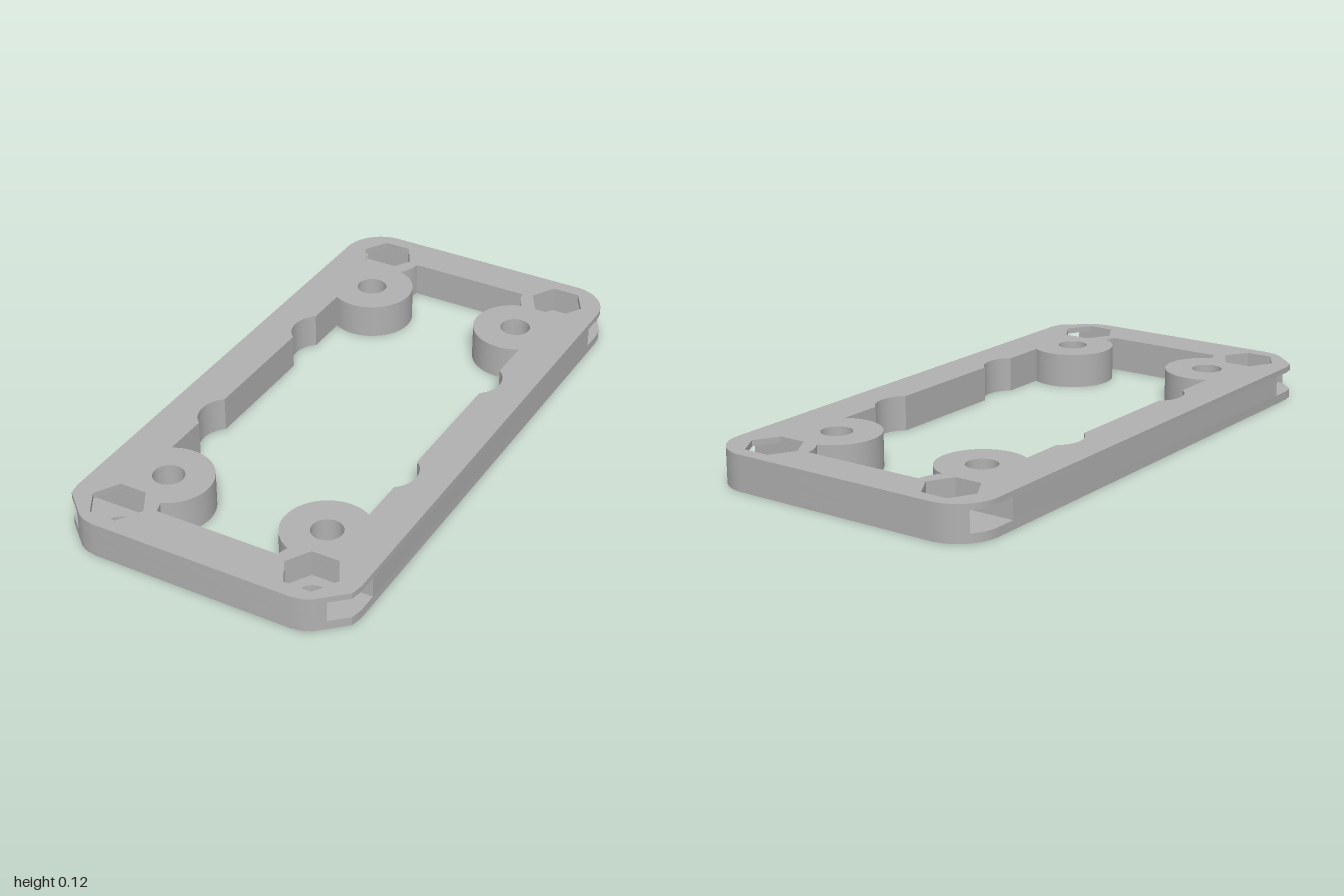
import * as THREE from 'three';
import { toCreasedNormals } from 'three/addons/utils/BufferGeometryUtils.js';

// Plan dimensions: points are (x, z)
const W = 0.505, WALL = 0.36;
const NUT = { x: 0.344, z: 0.87, r: 0.13, hex: 0.094, flat: 0.081 };
const BOSS = { x: 0.286, r: 0.147 };
const BOSS_FRONT = 0.677, BOSS_BACK = 0.645;

const V = (x, z) => new THREE.Vector2(x, z);
const flip = (pts, sx, sz) => pts.map(p => V(p.x * sx, p.y * sz));

function arc(cx, cz, r, a0, a1, n) {
  return Array.from({ length: n + 1 }, (_, i) => {
    const a = a0 + (a1 - a0) * i / n;
    return V(cx + r * Math.cos(a), cz + r * Math.sin(a));
  });
}

// Outer corner from the long side to the short end, optionally cut by a nut slot
function corner(front, slot) {
  const pts = front
    ? [V(W, 0.86), V(0.497, 0.9), V(0.41, 0.98), V(0.385, 0.993), V(0.345, 1)]
    : arc(W - 0.14, 0.86, 0.14, 0, Math.PI / 2, 16);
  if (!slot) return pts;
  const zMax = NUT.z + NUT.flat, zMin = NUT.z - NUT.flat;
  const i = pts.findIndex(p => p.y > zMax);
  const a = pts[i - 1], b = pts[i];
  const exit = a.clone().lerp(b, (zMax - a.y) / (b.y - a.y));
  const h = NUT.hex;
  return [V(W, zMin), V(NUT.x - h / 2, zMin), V(NUT.x - h, NUT.z),
    V(NUT.x - h / 2, zMax), exit, ...pts.slice(i)];
}

function outline(slot) {
  const f = corner(true, slot), b = corner(false, slot);
  return [...f, ...flip(f, -1, 1).reverse(), ...flip(b, -1, -1), ...flip(b, 1, -1).reverse()];
}

// Opening edge from the short end, round the nut corner and the boss, to the side wall
function openingEnd(endZ, bossZ) {
  const dx = NUT.x - BOSS.x, dz = NUT.z - bossZ, d = Math.hypot(dx, dz);
  const meet = Math.atan2(dz, dx) + Math.acos((BOSS.r ** 2 + d * d - NUT.r ** 2) / (2 * BOSS.r * d));
  const mx = BOSS.x + BOSS.r * Math.cos(meet), mz = bossZ + BOSS.r * Math.sin(meet);
  const start = 2 * Math.PI - Math.PI - Math.asin((endZ - NUT.z) / NUT.r);
  let end = Math.atan2(mz - NUT.z, mx - NUT.x);
  if (end < 0) end += 2 * Math.PI;
  const wallAngle = 2 * Math.PI - Math.acos((WALL - BOSS.x) / BOSS.r);
  return [...arc(NUT.x, NUT.z, NUT.r, start, end, 6),
    ...arc(BOSS.x, bossZ, BOSS.r, meet, wallAngle, 32).slice(1)];
}

// Shallow round scallop in the side wall, from front to back
function scallop(z) {
  const r = 0.1, cx = 0.297, a = Math.acos((WALL - cx) / r);
  return arc(cx, z, r, a, -a, 14);
}

function opening() {
  const right = [...openingEnd(0.85, BOSS_FRONT), ...scallop(0.312), ...scallop(-0.288),
    ...flip(openingEnd(0.86, BOSS_BACK), 1, -1).reverse()];
  return [...right, ...flip(right, -1, 1).reverse()];
}

export function createModel() {
  const group = new THREE.Group();
  group.name = 'mountingFrame';
  const grey = new THREE.MeshStandardMaterial({ color: 0xb0b0b0 });
  grey.name = 'grey';

  // Stacked layers: nut is the cut at each corner, bore the hole radius in each boss
  const layers = [
    { name: 'bottomPlate', y0: 0, y1: 0.03, nut: 'screw', bore: 0.098 },
    { name: 'lowerSlotLayer', y0: 0.03, y1: 0.05, nut: 'slot', bore: 0.098 },
    { name: 'upperSlotLayer', y0: 0.05, y1: 0.1, nut: 'slot', bore: 0.052 },
    { name: 'topPlate', y0: 0.1, y1: 0.12, nut: 'hex', bore: 0.052 },
  ];

  for (const { name, y0, y1, nut, bore } of layers) {
    const shape = new THREE.Shape(outline(nut === 'slot'));
    const cut = pts => shape.holes.push(new THREE.Path(pts));
    const round = (x, z, r, n) => cut(arc(x, z, r, 0, 2 * Math.PI, n).slice(0, -1));
    cut(opening());
    for (const sx of [-1, 1]) {
      round(sx * BOSS.x, BOSS_FRONT, bore, 36);
      round(sx * BOSS.x, -BOSS_BACK, bore, 36);
      for (const sz of [-1, 1]) {
        if (nut === 'screw') round(sx * NUT.x, sz * NUT.z, 0.045, 32);
        if (nut === 'hex') round(sx * NUT.x, sz * NUT.z, NUT.hex, 6);
      }
    }
    let geo = new THREE.ExtrudeGeometry(shape, { depth: y1 - y0, bevelEnabled: false });
    geo.rotateX(Math.PI / 2).translate(0, y1, 0);
    geo = toCreasedNormals(geo, 0.45);
    const mesh = new THREE.Mesh(geo, grey);
    mesh.name = name;
    group.add(mesh);
  }
  return group;
}
